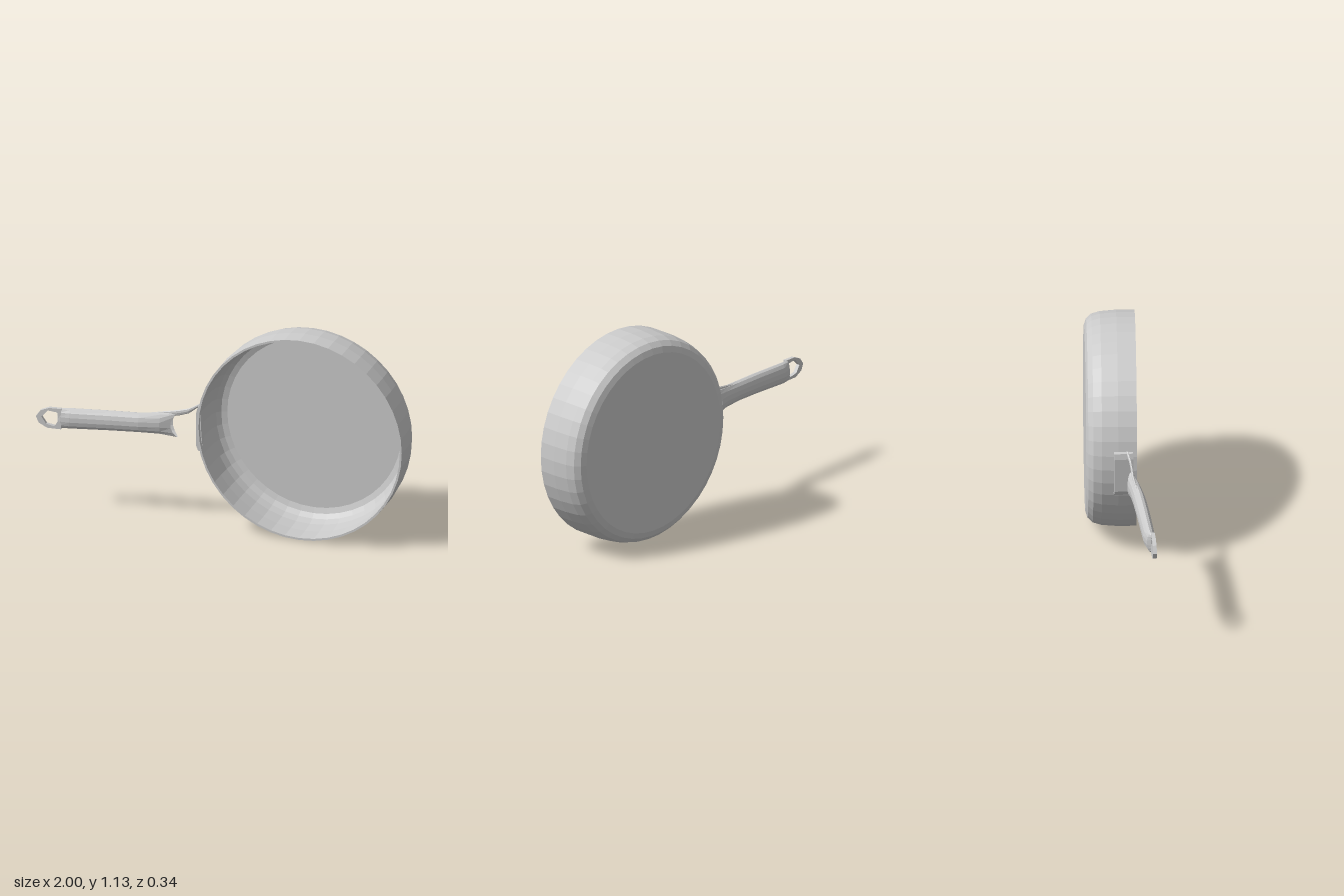
import * as THREE from 'three';

const material = new THREE.MeshStandardMaterial({ color: 0xcccccc, flatShading: true, side: THREE.DoubleSide });

function part(name, geometry) {
  const mesh = new THREE.Mesh(geometry, material);
  mesh.name = name;
  return mesh;
}

// Oval cross-sections along x: [x, centre y, half height, centre z, half depth].
// notch scoops the last section back between its upper and lower corners.
function loft(sections, sides, notch = 0) {
  const positions = [], index = [];
  sections.forEach(([x, cy, ry, cz, rz], i) => {
    for (let j = 0; j < sides; j++) {
      const a = (j / sides) * Math.PI * 2;
      const scoop = i === sections.length - 1 ? notch * Math.sin(a) ** 2 : 0;
      positions.push(x - scoop, cy + ry * Math.cos(a), cz + rz * Math.sin(a));
    }
  });
  for (let i = 0; i < sections.length - 1; i++) {
    for (let j = 0; j < sides; j++) {
      const a = i * sides + j, b = i * sides + (j + 1) % sides;
      index.push(a, b, a + sides, b, b + sides, a + sides);
    }
  }
  const geometry = new THREE.BufferGeometry();
  geometry.setAttribute('position', new THREE.Float32BufferAttribute(positions, 3));
  geometry.setIndex(index);
  geometry.computeVertexNormals();
  return geometry;
}

export function createModel() {
  const group = new THREE.Group();

  // Pan body: thin-walled, rounded base, opening to the front, slightly turned
  const profile = [
    [0, -0.137], [0.49, -0.137], [0.522, -0.126], [0.547, -0.1], [0.56, -0.055], [0.567, 0.03], [0.566, 0.128],
    [0.555, 0.128], [0.553, 0.03], [0.546, -0.05], [0.532, -0.09], [0.51, -0.112], [0.48, -0.122], [0, -0.122],
  ].map(([r, y]) => new THREE.Vector2(r, y));
  const pan = part('panBody', new THREE.LatheGeometry(profile, 44).rotateX(Math.PI / 2));
  pan.position.set(0.435, 0.567, 0);
  pan.rotation.y = -0.075;
  group.add(pan);

  // Mounting plate against the wall
  const plate = new THREE.Shape([
    [-0.12, 0.675], [-0.138, 0.67], [-0.146, 0.64], [-0.146, 0.45], [-0.136, 0.425], [-0.11, 0.42], [-0.12, 0.55],
  ].map(([x, y]) => new THREE.Vector2(x, y)));
  const plateGeometry = new THREE.ExtrudeGeometry(plate, { depth: 0.1, bevelEnabled: false });
  group.add(part('mountingPlate', plateGeometry.translate(0, 0, -0.035)));

  // Handle grip, flaring to an open scooped end
  group.add(part('handleGrip', loft([
    [-0.885, 0.545, 0.045, 0.095, 0.003],
    [-0.87, 0.545, 0.057, 0.09, 0.022],
    [-0.82, 0.546, 0.058, 0.085, 0.032],
    [-0.6, 0.553, 0.056, 0.077, 0.034],
    [-0.45, 0.555, 0.055, 0.07, 0.034],
    [-0.34, 0.556, 0.06, 0.058, 0.03],
    [-0.25, 0.552, 0.072, 0.044, 0.024],
  ], 14, 0.035)));

  // Strip joining the grip to the plate
  group.add(part('handleStrip', loft([
    [-0.42, 0.6, 0.008, 0.06, 0.006],
    [-0.3, 0.612, 0.016, 0.05, 0.008],
    [-0.24, 0.624, 0.016, 0.05, 0.007],
    [-0.19, 0.638, 0.014, 0.048, 0.007],
    [-0.13, 0.675, 0.007, 0.035, 0.006],
  ], 8)));

  // Flat hanging loop at the tip
  const loop = new THREE.Shape([
    [-1, 0.55], [-0.985, 0.515], [-0.94, 0.49], [-0.865, 0.488], [-0.865, 0.603], [-0.93, 0.603], [-0.975, 0.585],
  ].map(([x, y]) => new THREE.Vector2(x, y)));
  loop.holes.push(new THREE.Path([
    [-0.97, 0.55], [-0.935, 0.588], [-0.885, 0.582], [-0.877, 0.54], [-0.9, 0.502], [-0.945, 0.512],
  ].map(([x, y]) => new THREE.Vector2(x, y))));
  const loopGeometry = new THREE.ExtrudeGeometry(loop, { depth: 0.02, bevelEnabled: false });
  group.add(part('hangingLoop', loopGeometry.translate(0, 0, 0.09)));

  return group;
}
